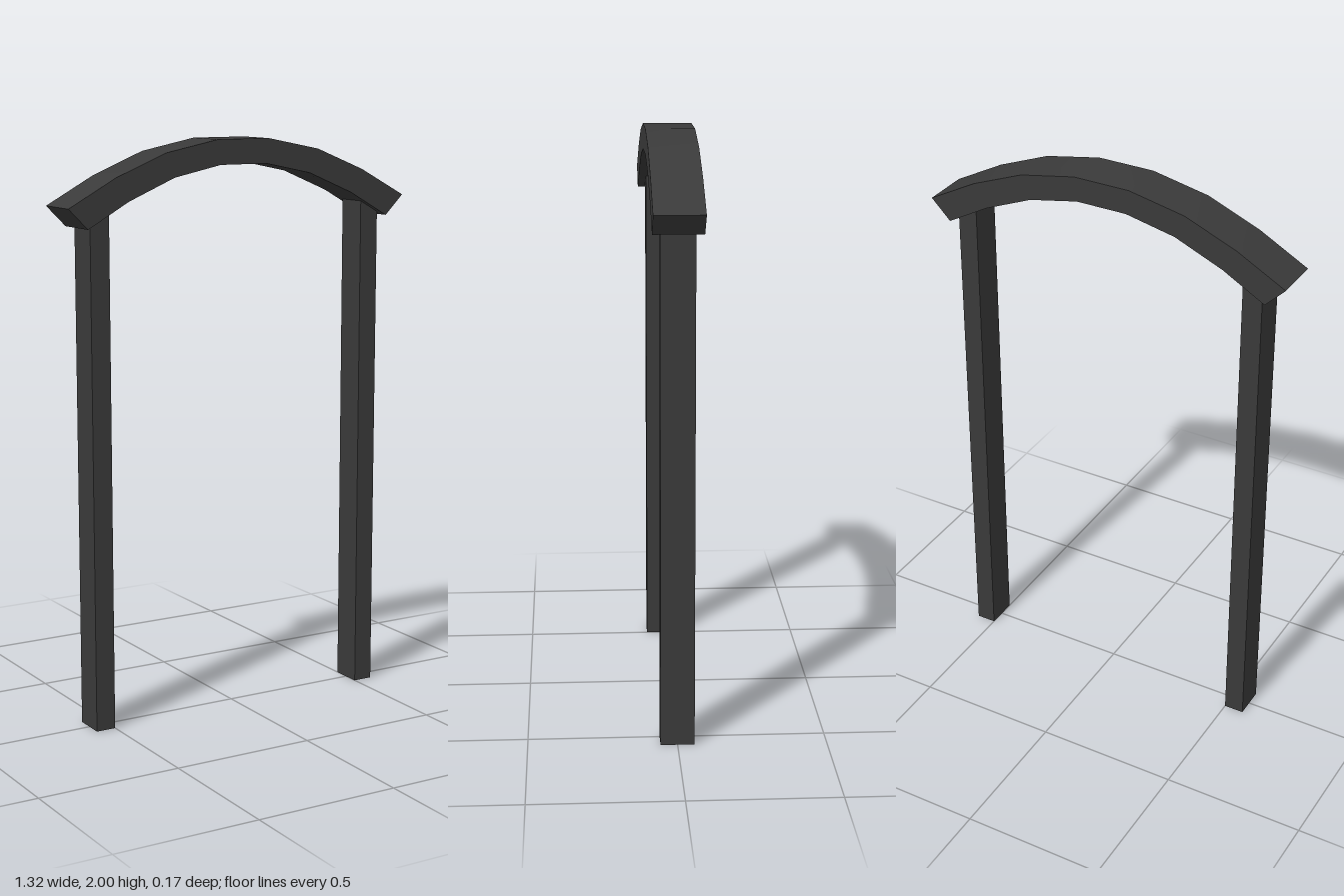
import * as THREE from 'three';
import { toCreasedNormals } from 'three/addons/utils/BufferGeometryUtils.js';

export function createModel() {
  const group = new THREE.Group();
  const material = new THREE.MeshStandardMaterial({ color: 0x3a3a3a });

  // Arched lintel: right half of the outline, mirrored and extruded
  const outer = [[0.1, 2], [0.3, 1.96], [0.485, 1.885], [0.66, 1.79]];
  const inner = [[0.59, 1.72], [0.44, 1.805], [0.267, 1.878], [0.09, 1.915]];
  const half = [...outer, ...inner];
  const mirrored = half.map(([x, y]) => [-x, y]).reverse();
  const shape = new THREE.Shape([...half, ...mirrored].map(([x, y]) => new THREE.Vector2(x, y)));
  const depth = 0.166;
  const archGeometry = new THREE.ExtrudeGeometry(shape, { depth, bevelEnabled: false });
  archGeometry.translate(0, 0, -depth / 2);
  const arch = new THREE.Mesh(toCreasedNormals(archGeometry, 0.5), material);
  arch.name = 'archedLintel';
  group.add(arch);

  // Two square-cut posts, their tops sunk into the lintel
  const postHeight = 1.79;
  for (const [side, name] of [[1, 'leftPost'], [-1, 'rightPost']]) {
    const post = new THREE.Mesh(new THREE.BoxGeometry(0.07, postHeight, 0.114), material);
    post.name = name;
    post.position.set(side * 0.535, postHeight / 2, 0);
    group.add(post);
  }

  return group;
}
